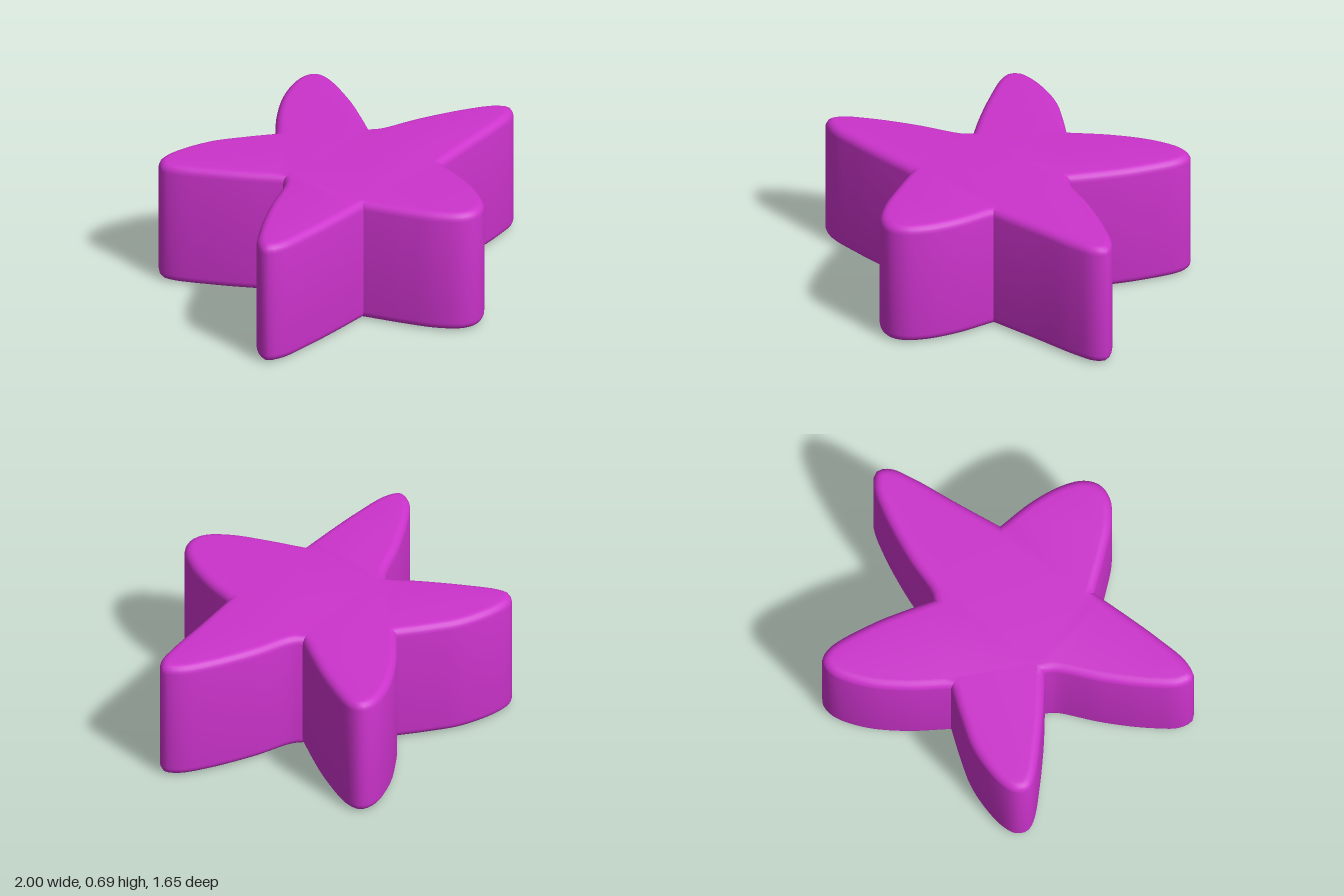
import * as THREE from 'three';
import { toCreasedNormals } from 'three/addons/utils/BufferGeometryUtils.js';

const HEIGHT = 0.685;
const BEVEL = 0.045;

// Each arm runs as one smooth curve from notch to notch, as [x, z] points
const arms = [
  // back left-hand arm (+x)
  [[0, -0.535], [0.19, -0.68], [0.38, -0.785], [0.55, -0.825], [0.63, -0.795], [0.645, -0.72],
    [0.54, -0.48], [0.43, -0.305], [0.35, -0.19]],
  // left arm (+x)
  [[0.35, -0.19], [0.39, -0.155], [0.59, -0.075], [0.83, 0.05], [0.96, 0.145], [0.997, 0.22], [0.95, 0.275],
    [0.83, 0.3], [0.57, 0.318], [0.3, 0.34]],
  // front arm
  [[0.3, 0.34], [0.245, 0.54], [0.17, 0.7], [0.09, 0.793], [0.005, 0.822], [-0.08, 0.79],
    [-0.165, 0.68], [-0.235, 0.52], [-0.31, 0.315]],
  // right arm (-x)
  [[-0.31, 0.315], [-0.5, 0.312], [-0.72, 0.302], [-0.92, 0.277], [-0.997, 0.225], [-0.97, 0.15],
    [-0.84, 0.055], [-0.62, -0.06], [-0.39, -0.155], [-0.35, -0.19]],
  // back right-hand arm (-x)
  [[-0.35, -0.19], [-0.45, -0.345], [-0.555, -0.53], [-0.637, -0.7], [-0.645, -0.765], [-0.6, -0.815],
    [-0.5, -0.82], [-0.28, -0.745], [-0.13, -0.64], [0, -0.535]],
];

export function createModel() {
  const group = new THREE.Group();
  group.name = 'starBlock';

  // Star outline; shape y is -z so the extrusion can be laid flat
  const outline = arms.flatMap((arm) => {
    const curve = new THREE.CatmullRomCurve3(arm.map(([x, z]) => new THREE.Vector3(x, -z, 0)));
    return curve.getSpacedPoints(48).slice(0, -1).map((p) => new THREE.Vector2(p.x, p.y));
  });

  // Thick body with rounded top and bottom rims
  const body = new THREE.ExtrudeGeometry(new THREE.Shape(outline), {
    depth: HEIGHT - 2 * BEVEL,
    bevelSize: BEVEL,
    bevelOffset: -BEVEL,
    bevelThickness: BEVEL,
    bevelSegments: 5,
  });
  body.translate(0, 0, BEVEL).rotateX(-Math.PI / 2);

  const star = new THREE.Mesh(
    toCreasedNormals(body, 0.7),
    new THREE.MeshStandardMaterial({ color: 0xcc33cc }),
  );
  star.name = 'starBody';
  group.add(star);
  return group;
}
